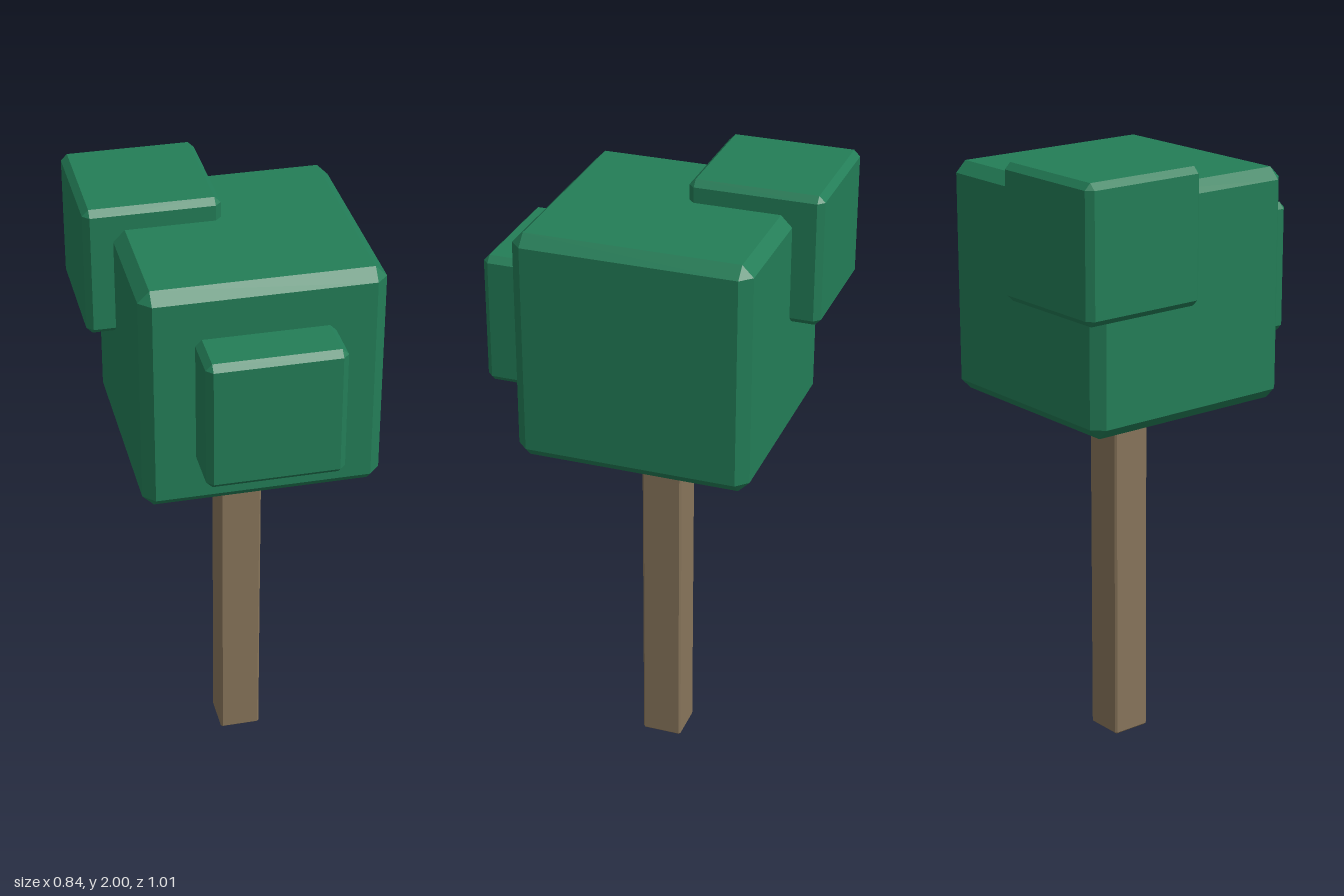
import * as THREE from 'three';
import { ConvexGeometry } from 'three/addons/geometries/ConvexGeometry.js';

// Box between two corners, all edges cut by a flat bevel
function bevelBox(name, min, max, bevel, material) {
  const size = max.map((v, i) => v - min[i]);
  const points = [];
  for (const sx of [-1, 1]) for (const sy of [-1, 1]) for (const sz of [-1, 1]) {
    const signs = [sx, sy, sz];
    // each corner becomes three points, one on each adjoining face
    for (let face = 0; face < 3; face++) {
      points.push(new THREE.Vector3(
        ...signs.map((s, i) => s * (size[i] / 2 - (i === face ? 0 : bevel)))
      ));
    }
  }
  const mesh = new THREE.Mesh(new ConvexGeometry(points), material);
  mesh.name = name;
  mesh.position.set(...min.map((v, i) => (v + max[i]) / 2));
  return mesh;
}

export function createModel() {
  const leaf = new THREE.MeshStandardMaterial({ color: 0x237d57, flatShading: true });
  const bark = new THREE.MeshStandardMaterial({ color: 0x87745a, flatShading: true });

  const tree = new THREE.Group();
  tree.name = 'tree';
  tree.add(
    // square trunk, ending just inside the crown
    bevelBox('trunk', [-0.025, 0, -0.097], [0.11, 1.22, 0.036], 0.006, bark),
    // main crown with two smaller leaf blocks
    bevelBox('crown', [-0.332, 1.18, -0.41], [0.418, 1.93, 0.341], 0.036, leaf),
    bevelBox('backLeafBlock', [-0.422, 1.574, -0.505], [0.006, 2, -0.077], 0.02, leaf),
    bevelBox('frontLeafBlock', [-0.17, 1.341, 0.073], [0.258, 1.769, 0.501], 0.02, leaf)
  );
  return tree;
}
